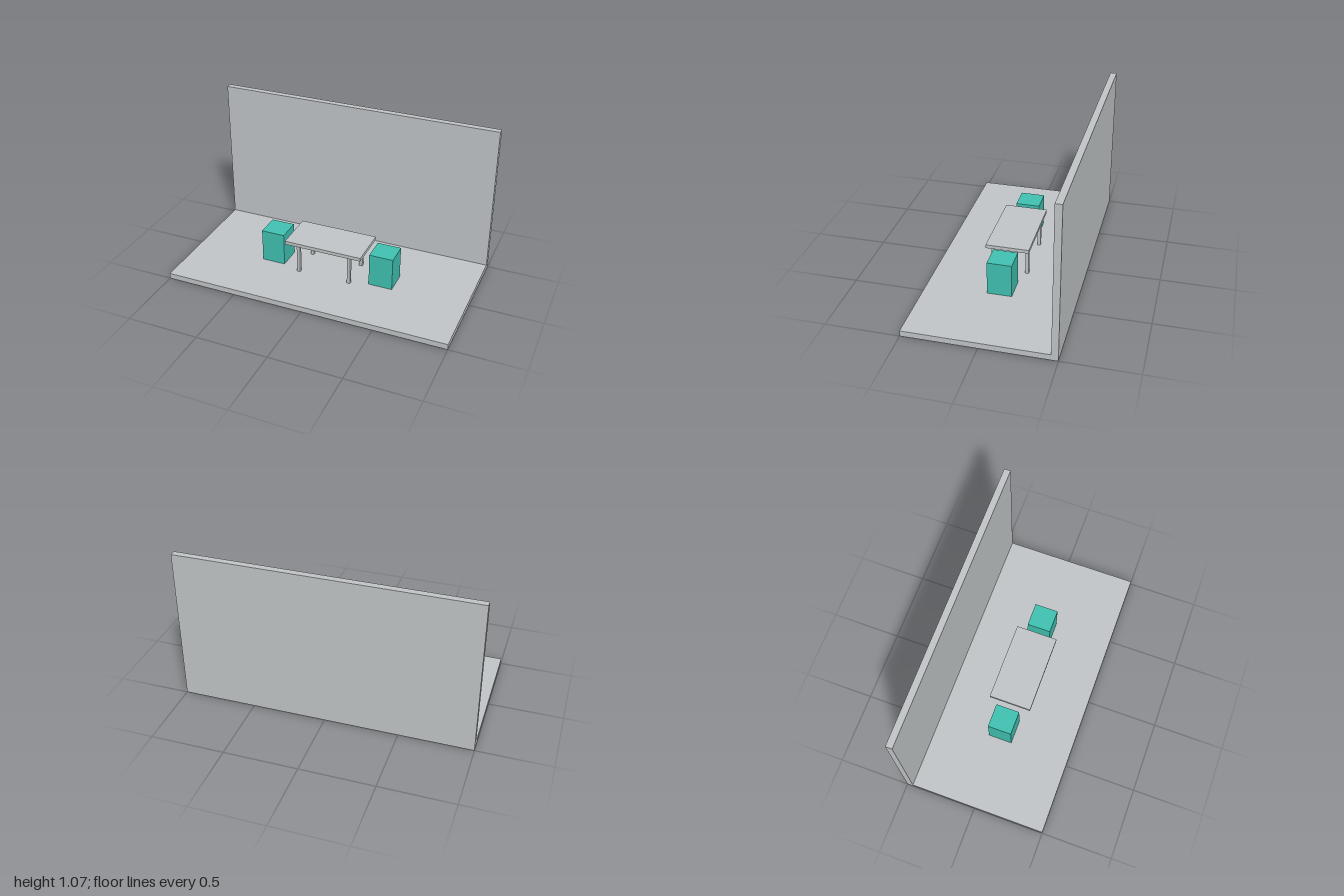
import * as THREE from 'three';

export function createModel() {
  const root = new THREE.Group();
  const grey = new THREE.MeshStandardMaterial({ color: 0xc2c6c8 });
  grey.name = 'light grey';
  const teal = new THREE.MeshStandardMaterial({ color: 0x40c1b2 });
  teal.name = 'teal';

  // Box given by its centre in x and z, its bottom and its size
  function box(parent, name, material, [w, h, d], [x, bottom, z]) {
    const mesh = new THREE.Mesh(new THREE.BoxGeometry(w, h, d), material);
    mesh.name = name;
    mesh.position.set(x, bottom + h / 2, z);
    parent.add(mesh);
  }

  const floorTop = 0.04;

  // Floor slab and back wall meeting in an L
  box(root, 'floor', grey, [2, floorTop, 1], [0, 0, 0]);
  box(root, 'backWall', grey, [2, 1.07 - floorTop, 0.045], [0, floorTop, -0.4775]);

  // Table with four square legs
  const table = new THREE.Group();
  table.name = 'table';
  root.add(table);
  box(table, 'tableTop', grey, [0.554, 0.025, 0.296], [0, 0.252, 0]);
  for (const x of [-0.186, 0.186]) {
    for (const z of [-0.117, 0.117]) {
      box(table, 'tableLeg', grey, [0.023, 0.252 - floorTop, 0.023], [x, floorTop, z]);
    }
  }

  // A block stool at each end of the table
  box(root, 'leftStool', teal, [0.167, 0.235, 0.167], [0.4, floorTop, 0]);
  box(root, 'rightStool', teal, [0.167, 0.235, 0.167], [-0.4, floorTop, 0]);

  return root;
}
